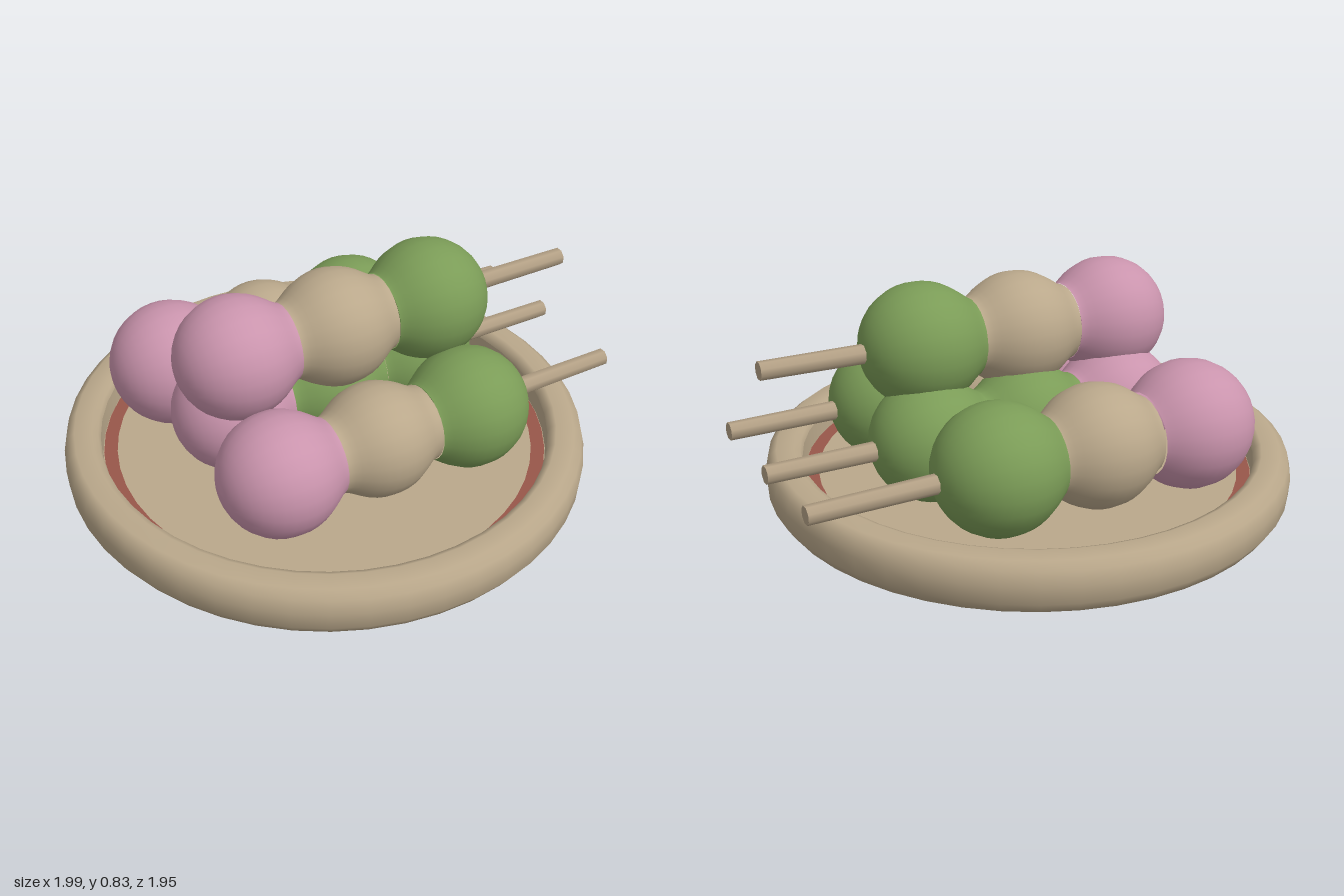
import * as THREE from 'three';

const material = (name, color) => {
  const m = new THREE.MeshStandardMaterial({ color });
  m.name = name;
  return m;
};

export function createModel() {
  const beige = material('beige', 0xbaa88b);
  const pink = material('pink', 0xca94ad);
  const green = material('green', 0x7b9c57);
  const wood = material('wood', 0xb3a085);
  const red = material('red', 0x98564a);
  const model = new THREE.Group();

  const add = (parent, name, geometry, mat) => {
    const mesh = new THREE.Mesh(geometry, mat);
    mesh.name = name;
    parent.add(mesh);
    return mesh;
  };

  // Shallow plate, slightly oval, with a raised rounded rim
  const plate = new THREE.Group();
  plate.name = 'plate';
  plate.position.set(-0.065, 0, -0.005);
  plate.scale.x = 0.957;
  model.add(plate);
  const lathe = (pts) => new THREE.LatheGeometry(pts.map(([r, y]) => new THREE.Vector2(r, y)), 48);
  add(plate, 'plateBody', lathe([
    [0, 0], [0.5, 0.012], [0.88, 0.032], [0.945, 0.05], [0.973, 0.09], [0.977, 0.15],
    [0.965, 0.198], [0.935, 0.22], [0.87, 0.222], [0.848, 0.212], [0.84, 0.19],
  ]), beige);
  add(plate, 'plateWall', lathe([[0.84, 0.19], [0.837, 0.12]]), beige);
  add(plate, 'plateFloor', lathe([[0.837, 0.12], [0, 0.12]]), beige);
  add(plate, 'plateRing', lathe([[0.834, 0.124], [0.784, 0.124]]), red);

  // One dumpling: a ball turned round the skewer, flared into a neck where it joins a neighbour
  const dumpling = (radius, half, joinsBefore, joinsAfter) => {
    const from = joinsBefore ? -half : -radius;
    const to = joinsAfter ? half : radius;
    const points = [];
    for (let i = 0; i <= 18; i++) {
      const u = -Math.cos((i / 18) * Math.PI);
      const t = (from + to) / 2 + u * (to - from) / 2;
      const ball = Math.sqrt(Math.max(0, radius * radius - t * t));
      const joined = t < 0 ? joinsBefore : joinsAfter;
      const neck = joined ? 0.135 : 0;
      const r = neck ? Math.pow(ball ** 8 + neck ** 8, 1 / 8) : ball;
      points.push(new THREE.Vector2(i === 0 && !joinsBefore || i === 18 && !joinsAfter ? 0 : r, t));
    }
    return new THREE.LatheGeometry(points, 24);
  };

  // Skewers run along local y, from the pink ball towards the bare end of the stick
  const skewers = [
    { name: 'frontSkewer', at: [0.07, 0.31, 0.31], dir: [0.93, 0.008, -0.36], end: 0.98, r: [0.215, 0.2, 0.217], mid: beige },
    { name: 'middleSkewer', at: [-0.05, 0.31, -0.075], dir: [0.937, 0.008, -0.35], end: 0.97, r: [0.215, 0.205, 0.215], mid: green },
    { name: 'backSkewer', at: [-0.24, 0.325, -0.37], dir: [0.943, -0.01, -0.333], end: 1.035, r: [0.228, 0.215, 0.225], mid: beige },
    { name: 'topSkewer', at: [-0.035, 0.607, 0.043], dir: [0.94, 0.018, -0.34], end: 0.952, r: [0.213, 0.207, 0.217], mid: beige },
  ];
  const spacing = 0.374;
  for (const s of skewers) {
    const group = new THREE.Group();
    group.name = s.name;
    group.position.set(...s.at);
    group.quaternion.setFromUnitVectors(new THREE.Vector3(0, 1, 0), new THREE.Vector3(...s.dir).normalize());
    model.add(group);
    ['pinkDumpling', 'middleDumpling', 'greenDumpling'].forEach((name, i) => {
      const ball = add(group, name, dumpling(s.r[i], spacing / 2, i > 0, i < 2), [pink, s.mid, green][i]);
      ball.position.y = (i - 1) * spacing;
    });
    // Bare stick with a softened flare where it enters the last ball
    const stick = add(group, 'stick', new THREE.CylinderGeometry(0.032, 0.035, s.end - 0.4, 8), wood);
    stick.position.y = (s.end + 0.4) / 2;
  }

  // Soft bridges where the top balls rest on the ones below
  const bridge = (name, from, to, mat) => {
    const a = new THREE.Vector3(...from);
    const b = new THREE.Vector3(...to);
    const mesh = add(model, name, new THREE.CylinderGeometry(0.11, 0.11, a.distanceTo(b), 16, 1, true), mat);
    mesh.position.copy(a).lerp(b, 0.5);
    mesh.quaternion.setFromUnitVectors(new THREE.Vector3(0, 1, 0), b.sub(a).normalize());
  };
  bridge('pinkBridge', [-0.39, 0.6, 0.17], [-0.4, 0.31, 0.056], pink);
  bridge('greenBridge', [0.315, 0.614, -0.083], [0.3, 0.313, -0.206], green);

  return model;
}
